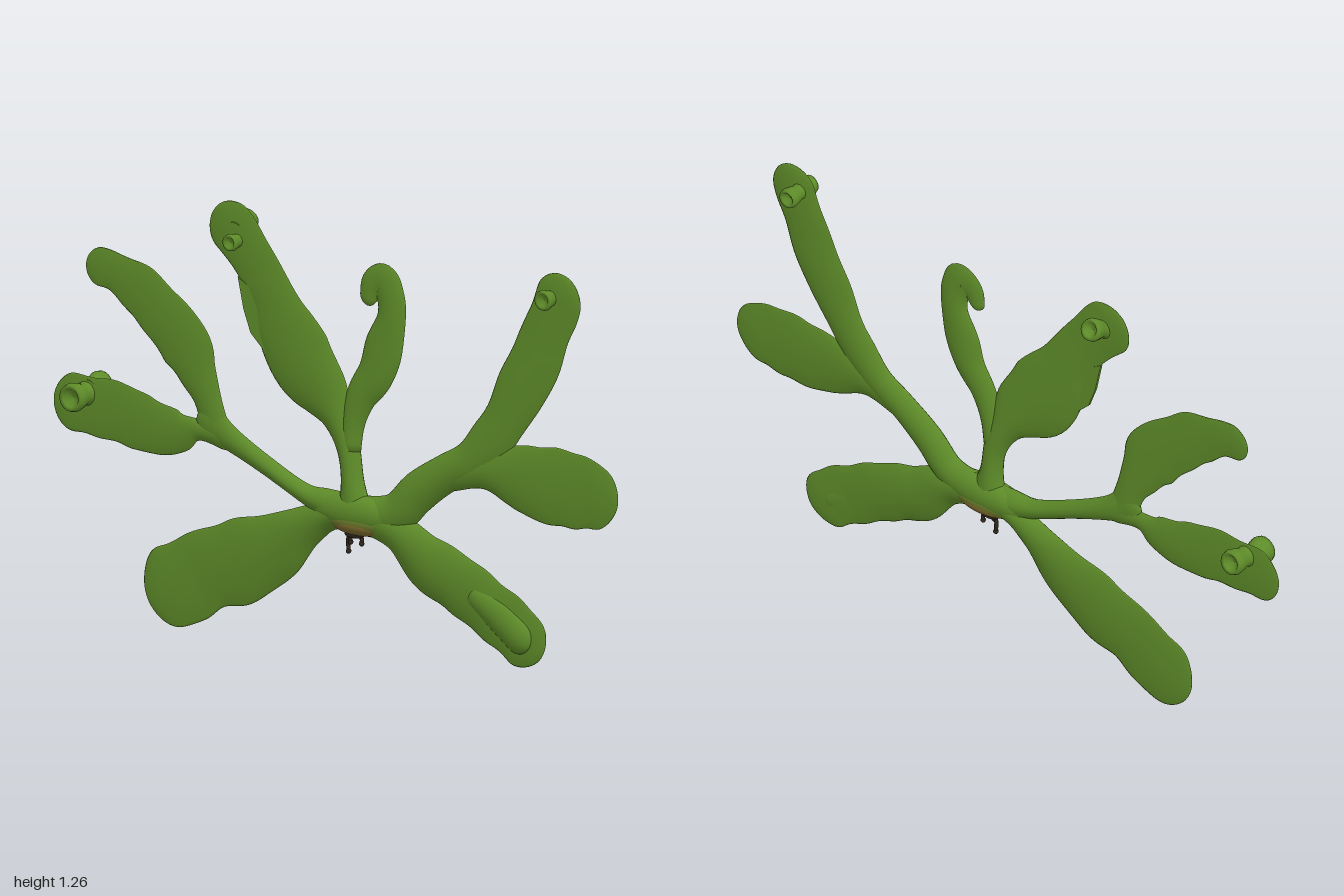
import * as THREE from 'three';

// Lens-shaped frond swept along a flat spine; each point is [x, y, halfWidth].
function frondGeometry(points, t0, t1, wave) {
  const curve = new THREE.CatmullRomCurve3(points.map(p => new THREE.Vector3(...p)), false, 'centripetal');
  const rows = 72, sides = 20, pos = [], index = [];
  const first = curve.getPoint(0), last = curve.getPoint(1);
  const flat = (a, b) => Math.hypot(a.x - b.x, a.y - b.y);
  const round = (d, r) => (d >= r ? 1 : Math.sqrt(Math.max(0, 1 - (1 - d / r) ** 2)));
  for (let i = 0; i <= rows; i++) {
    const u = 1 - (1 - i / rows) ** 1.5;
    const c = curve.getPoint(u), t = curve.getTangent(u);
    const len = Math.hypot(t.x, t.y) || 1, nx = -t.y / len, ny = t.x / len;
    const end = round(flat(c, last), points[points.length - 1][2]) * round(flat(c, first), points[0][2] * 0.6);
    const thick = THREE.MathUtils.lerp(t0, t1, Math.min(1, u * 1.3)) * end;
    for (let j = 0; j < sides; j++) {
      const a = j / sides * Math.PI * 2, s = Math.sin(a), k = Math.cos(a);
      const ripple = 1 + wave * u * Math.sin(u * 34 + (k > 0 ? 0 : 2));
      const off = k * c.z * end * ripple;
      pos.push(c.x + nx * off, c.y + ny * off, s * Math.abs(s) ** 0.6 * thick);
    }
  }
  for (let i = 0; i < rows; i++) for (let j = 0; j < sides; j++) {
    const a = i * sides + j, b = i * sides + (j + 1) % sides;
    index.push(a, b, a + sides, b, b + sides, a + sides);
  }
  const g = new THREE.BufferGeometry();
  g.setAttribute('position', new THREE.Float32BufferAttribute(pos, 3));
  g.setIndex(index);
  g.computeVertexNormals();
  return g;
}

export function createModel() {
  const model = new THREE.Group();
  const material = (name, color) => {
    const m = new THREE.MeshStandardMaterial({ color, side: THREE.DoubleSide });
    m.name = name;
    return m;
  };
  const green = material('leaf green', 0x5e8c29);
  const olive = material('base olive', 0x6b7a2a);
  const brown = material('base brown', 0x7c6a2c);
  const dark = material('root brown', 0x30281a);

  const add = (name, geometry, mat, x = 0, y = 0, z = 0) => {
    const mesh = new THREE.Mesh(geometry, mat);
    mesh.name = name;
    mesh.position.set(x, y, z);
    model.add(mesh);
    return mesh;
  };
  const frond = (name, t0, t1, wave, points) => add(name, frondGeometry(points, t0, t1, wave), green);

  // Lower fronds
  frond('lowerRightFrond', 0.038, 0.01, 0.04, [[0.08, 0.42, 0.05], [-0.02, 0.4, 0.045], [-0.1, 0.355, 0.06],
    [-0.2, 0.285, 0.095], [-0.33, 0.22, 0.12], [-0.45, 0.175, 0.115], [-0.56, 0.115, 0.122], [-0.665, 0.055, 0.115]]);
  frond('lowerLeftFrond', 0.038, 0.01, 0.04, [[0.08, 0.42, 0.05], [0.22, 0.385, 0.06], [0.32, 0.315, 0.085],
    [0.43, 0.27, 0.09], [0.53, 0.22, 0.09], [0.63, 0.165, 0.09], [0.73, 0.1, 0.085]]);
  frond('frondSwelling', 0.012, 0.02, 0, [[0.48, 0.25, 0.03], [0.58, 0.195, 0.045], [0.69, 0.12, 0.05]]).position.z = 0.008;

  // Right side: stem and its two fronds
  frond('rightStem', 0.036, 0.014, 0, [[0.08, 0.42, 0.05], [-0.03, 0.43, 0.045], [-0.1, 0.445, 0.032],
    [-0.25, 0.51, 0.03], [-0.38, 0.57, 0.04], [-0.44, 0.6, 0.055], [-0.49, 0.62, 0.05]]);
  frond('upperSideRightFrond', 0.014, 0.006, 0.04, [[-0.42, 0.57, 0.05], [-0.455, 0.67, 0.05], [-0.49, 0.74, 0.07],
    [-0.53, 0.81, 0.092], [-0.61, 0.885, 0.085], [-0.69, 0.945, 0.08], [-0.78, 0.985, 0.06], [-0.885, 1.0, 0.055]]);
  frond('sideRightFrond', 0.014, 0.006, 0.04, [[-0.37, 0.565, 0.04], [-0.49, 0.575, 0.032], [-0.55, 0.56, 0.06],
    [-0.65, 0.56, 0.08], [-0.75, 0.58, 0.088], [-0.87, 0.588, 0.085], [-1, 0.583, 0.085]]);

  // Middle stem carrying a tall frond and a curled one
  frond('tallRightFrond', 0.036, 0.008, 0.03, [[0.07, 0.39, 0.08], [0.06, 0.5, 0.04], [0.045, 0.6, 0.04],
    [0.01, 0.68, 0.055], [-0.04, 0.75, 0.09], [-0.12, 0.83, 0.118], [-0.18, 0.92, 0.105], [-0.225, 1.0, 0.08],
    [-0.285, 1.09, 0.076], [-0.35, 1.16, 0.082], [-0.425, 1.23, 0.08]]);
  frond('curledFrond', 0.026, 0.01, 0.02, [[0.05, 0.58, 0.035], [0.062, 0.68, 0.04], [0.09, 0.76, 0.05],
    [0.14, 0.83, 0.06], [0.17, 0.91, 0.065], [0.197, 1.0, 0.05], [0.195, 1.06, 0.05], [0.172, 1.1, 0.054],
    [0.135, 1.09, 0.045], [0.118, 1.055, 0.032], [0.115, 1.025, 0.025]]);

  // Pointed flap beside the tall frond
  const flap = new THREE.Shape([[-0.345, 1.04], [-0.325, 0.95], [-0.3, 0.885], [-0.21, 0.8], [-0.16, 0.92], [-0.24, 0.98]]
    .map(p => new THREE.Vector2(...p)));
  add('pointedFlap', new THREE.ExtrudeGeometry(flap, { depth: 0.008, bevelEnabled: false }), green, 0, 0, -0.004);

  // Left side: long stem ending in a frond, with one side frond
  frond('tallLeftFrond', 0.036, 0.01, 0.03, [[0.08, 0.41, 0.06], [0.21, 0.435, 0.06], [0.29, 0.51, 0.06],
    [0.39, 0.58, 0.055], [0.48, 0.63, 0.06], [0.55, 0.7, 0.07], [0.6, 0.77, 0.07], [0.66, 0.87, 0.085],
    [0.71, 0.96, 0.085], [0.75, 1.05, 0.08], [0.78, 1.12, 0.08], [0.815, 1.215, 0.075]]);
  frond('sideLeftFrond', 0.022, 0.008, 0.03, [[0.38, 0.57, 0.045], [0.52, 0.61, 0.055], [0.62, 0.61, 0.088],
    [0.72, 0.6, 0.108], [0.82, 0.6, 0.112], [0.91, 0.595, 0.1], [1, 0.585, 0.09]]);

  // Swollen hub whose underside shades through olive to brown
  const hubPart = (name, mat, x, y, rx, ry, rz) =>
    add(name, new THREE.SphereGeometry(1, 32, 20), mat, x, y).scale.set(rx, ry, rz);
  hubPart('hub', green, 0.08, 0.42, 0.17, 0.055, 0.042);
  hubPart('hubLowerBand', olive, 0.085, 0.396, 0.125, 0.034, 0.041);
  hubPart('hubUnderside', brown, 0.085, 0.387, 0.1, 0.031, 0.041);

  // Hanging roots
  for (const [x, z, bottom] of [[0.045, 0, 0.305], [0.06, 0.01, 0.335], [0.085, -0.008, 0.33]]) {
    const path = new THREE.CatmullRomCurve3([new THREE.Vector3(0.065, 0.37, 0),
      new THREE.Vector3(x, 0.345, z), new THREE.Vector3(x, bottom, z)]);
    add('root', new THREE.TubeGeometry(path, 10, 0.006, 6), dark);
    add('rootTip', new THREE.SphereGeometry(0.008, 8, 6), dark, x, bottom, z);
  }
  add('rootCrown', new THREE.SphereGeometry(1, 16, 10), dark, 0.067, 0.357).scale.set(0.034, 0.012, 0.02);

  // Cup-shaped buds standing out of the fronds: x, y, radius, length, direction, lift
  const buds = [[-0.885, 0.62, 0.042, 0.075, 1, 0], [-0.88, 0.63, 0.038, 0.072, -1, 0.01],
    [-0.345, 1.145, 0.025, 0.045, 1, 0], [-0.355, 1.17, 0.034, 0.07, -1, 0.03],
    [0.765, 1.145, 0.03, 0.045, 1, 0], [0.765, 1.145, 0.03, 0.062, -1, 0]];
  for (const [x, y, r, h, dir, lift] of buds) {
    const profile = [[0.85, 0], [0.75, 0.25], [0.9, 0.55], [1, 0.8], [0.9, 1], [0.65, 0.97], [0.45, 0.82], [0, 0.75]]
      .map(p => new THREE.Vector2(p[0] * r, p[1] * h));
    const bud = add('bud', new THREE.LatheGeometry(profile, 18), green, x, y, 0);
    bud.quaternion.setFromUnitVectors(new THREE.Vector3(0, 1, 0), new THREE.Vector3(0, lift / h, dir).normalize());
  }
  return model;
}
